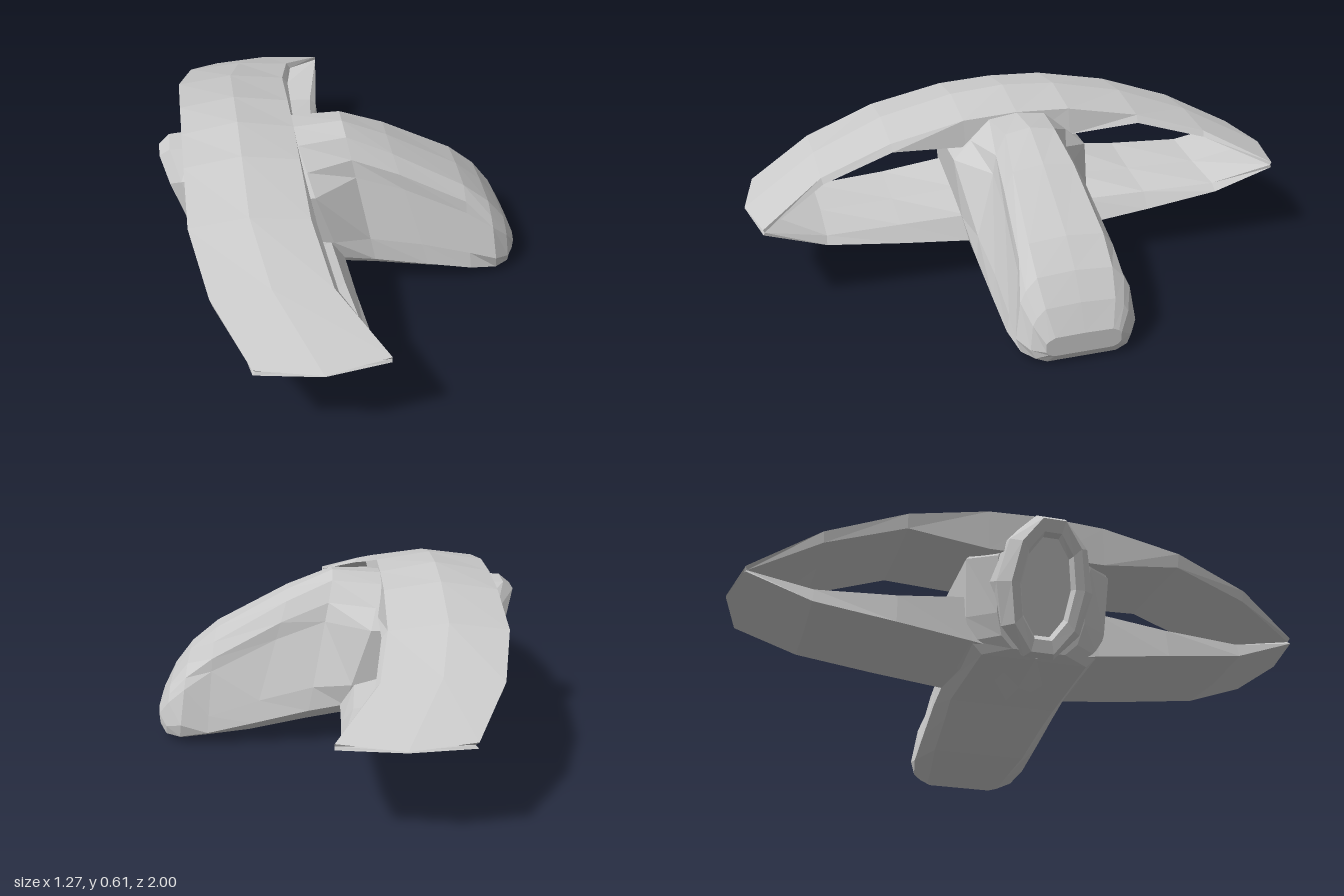
import * as THREE from 'three';

const material = new THREE.MeshStandardMaterial({ color: 0xcccccc, flatShading: true });

// Skin a list of closed rings (arrays of [x, y, z]), cap the ends, and face it outwards.
function loft(name, rings, parent) {
  const tris = [];
  const n = rings[0].length;
  for (let i = 0; i < rings.length - 1; i++) {
    for (let j = 0; j < n; j++) {
      const k = (j + 1) % n;
      const a = rings[i][j], b = rings[i][k], c = rings[i + 1][k], d = rings[i + 1][j];
      tris.push([a, b, c], [a, c, d]);
    }
  }
  const cap = (ring, flip) => {
    const mid = [0, 1, 2].map((q) => ring.reduce((s, p) => s + p[q], 0) / n);
    ring.forEach((p, j) => {
      const next = ring[(j + 1) % n];
      tris.push(flip ? [mid, next, p] : [mid, p, next]);
    });
  };
  cap(rings[0], true);
  cap(rings[rings.length - 1], false);
  const volume = tris.reduce((s, [a, b, c]) => s
    + a[0] * (b[1] * c[2] - b[2] * c[1])
    + a[1] * (b[2] * c[0] - b[0] * c[2])
    + a[2] * (b[0] * c[1] - b[1] * c[0]), 0);
  if (volume < 0) tris.forEach((t) => t.reverse());
  const geometry = new THREE.BufferGeometry();
  geometry.setAttribute('position', new THREE.Float32BufferAttribute(tris.flat(2), 3));
  geometry.computeVertexNormals();
  const mesh = new THREE.Mesh(geometry, material);
  mesh.name = name;
  parent.add(mesh);
}

// Wing section: outer rear, middle and front, then inner front, middle and rear.
function wingSection(s, side) {
  const z = s.z * side;
  const zMid = (s.zMid ?? s.z) * side;
  return [
    [s.rear, s.edge, z], [(s.rear + s.front) / 2, s.mid, zMid], [s.front, s.edge, z],
    [s.front + s.lip, s.inFront, z * 0.995],
    [(s.rear + s.front) / 2, (s.inFront + s.inRear) / 2, zMid * 0.99],
    [s.rear + 0.01, s.inRear, z * 0.995],
  ];
}

function wing(name, stations, parent) {
  const left = stations.map((s) => wingSection(s, 1));
  const right = stations.slice(1).reverse().map((s) => wingSection(s, -1));
  loft(name, [...right, ...left], parent);
}

// Body section on a slanted line from top to bottom, with half-widths down the side.
const DEPTHS = [0.03, 0.17, 0.3, 0.74, 0.91, 1];
function bodySection([xt, yt, xb, yb, widths]) {
  const at = (t, z) => [xt + (xb - xt) * t, yt + (yb - yt) * t, z];
  const half = widths.map((w, i) => at(DEPTHS[i], w));
  const mirrored = half.map(([x, y, z]) => [x, y, -z]).reverse();
  return [at(0, 0), ...half, ...mirrored];
}

export function createModel() {
  const group = new THREE.Group();
  group.name = 'spacecraft';

  // Arched upper wing
  wing('upperWing', [
    { z: 0, rear: -0.56, front: -0.17, mid: 0.61, edge: 0.575, inFront: 0.45, inRear: 0.43, lip: 0.02 },
    { z: 0.2, rear: -0.56, front: -0.17, mid: 0.595, edge: 0.565, inFront: 0.47, inRear: 0.43, lip: 0.02 },
    { z: 0.47, rear: -0.56, front: -0.165, mid: 0.535, edge: 0.51, inFront: 0.485, inRear: 0.462, lip: 0.02 },
    { z: 0.73, rear: -0.51, front: -0.125, mid: 0.445, edge: 0.43, inFront: 0.41, inRear: 0.395, lip: 0.015 },
    { z: 0.955, zMid: 1, rear: -0.4, front: 0.02, mid: 0.322, edge: 0.33, inFront: 0.32, inRear: 0.32, lip: 0 },
  ], group);

  // Lower wing, meeting the upper wing at the tips
  wing('lowerWing', [
    { z: 0, rear: -0.42, front: -0.02, mid: 0.1, edge: 0.12, inFront: 0.23, inRear: 0.32, lip: -0.05 },
    { z: 0.22, rear: -0.42, front: -0.02, mid: 0.145, edge: 0.155, inFront: 0.235, inRear: 0.32, lip: -0.05 },
    { z: 0.47, rear: -0.43, front: -0.015, mid: 0.17, edge: 0.185, inFront: 0.24, inRear: 0.285, lip: -0.04 },
    { z: 0.74, rear: -0.42, front: -0.005, mid: 0.21, edge: 0.225, inFront: 0.25, inRear: 0.272, lip: -0.025 },
    { z: 0.955, zMid: 1, rear: -0.4, front: 0.02, mid: 0.318, edge: 0.31, inFront: 0.32, inRear: 0.32, lip: 0 },
  ], group);

  // Hub and drooping nose with sunken side panels
  loft('fuselage', [
    [-0.56, 0.55, -0.45, 0.13, [0.1, 0.13, 0.16, 0.15, 0.13, 0.09]],
    [-0.48, 0.57, -0.4, 0.12, [0.11, 0.19, 0.25, 0.24, 0.22, 0.18]],
    [-0.17, 0.573, -0.02, 0.115, [0.105, 0.18, 0.25, 0.24, 0.225, 0.19]],
    [0, 0.585, 0.1, 0.09, [0.09, 0.13, 0.145, 0.215, 0.225, 0.18]],
    [0.16, 0.515, 0.3, 0.045, [0.11, 0.145, 0.15, 0.205, 0.22, 0.17]],
    [0.42, 0.37, 0.45, 0.018, [0.13, 0.165, 0.17, 0.205, 0.215, 0.15]],
    [0.515, 0.29, 0.55, 0.003, [0.13, 0.17, 0.19, 0.21, 0.195, 0.14]],
    [0.58, 0.205, 0.6, 0.01, [0.12, 0.15, 0.165, 0.175, 0.16, 0.12]],
    [0.625, 0.115, 0.62, 0.04, [0.1, 0.12, 0.13, 0.13, 0.12, 0.1]],
  ].map(bodySection), group);

  // Tilted oval exhaust: collar, rim and recessed bowl
  const ring = (offset, halfWidth, halfHeight) => Array.from({ length: 10 }, (_, i) => {
    const a = ((i + 0.5) / 10) * Math.PI * 2;
    const v = Math.cos(a) * halfHeight;
    return [-0.55 - 0.35 * v - 0.94 * offset, 0.32 + 0.94 * v - 0.35 * offset, Math.sin(a) * halfWidth];
  });
  loft('exhaust', [
    ring(-0.1, 0.19, 0.22), ring(-0.03, 0.165, 0.245), ring(0.015, 0.125, 0.23),
    ring(0.01, 0.095, 0.185), ring(-0.015, 0.085, 0.17),
  ], group);

  return group;
}
